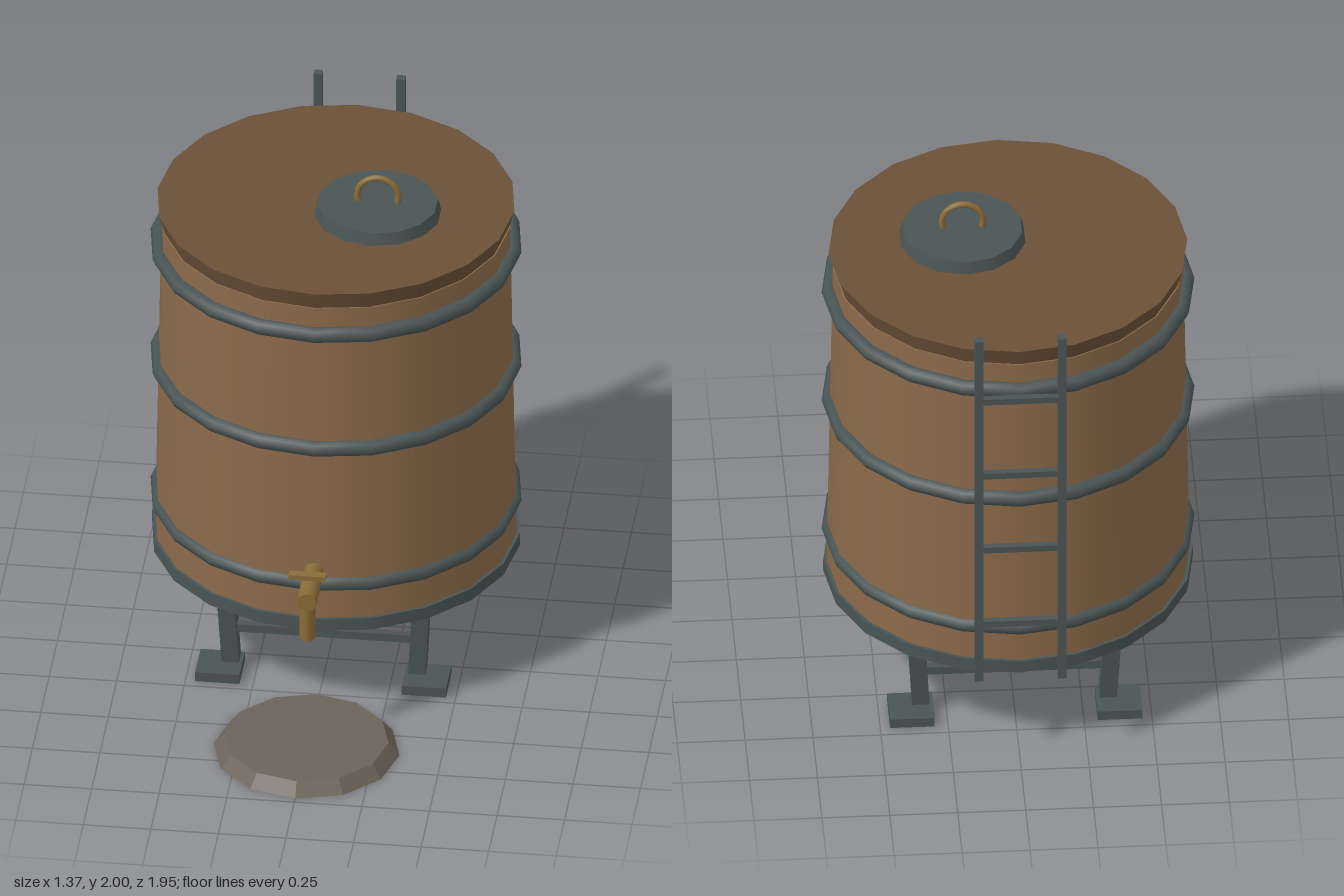
import * as THREE from 'three';

const mat = (color) => new THREE.MeshStandardMaterial({ color });
const wood = mat(0x8a6a4a), darkWood = mat(0x6a5038), metal = mat(0x4a5454);
const brass = mat(0x8a6c38), stone = mat(0x6c6359);

function add(parent, name, geometry, material, x = 0, y = 0, z = 0) {
  const mesh = new THREE.Mesh(geometry, material);
  mesh.name = name;
  mesh.position.set(x, y, z);
  parent.add(mesh);
  return mesh;
}

// Upright round part between two heights
function drum(parent, name, rBottom, rTop, y0, y1, sides, material, x = 0, z = 0) {
  const geometry = new THREE.CylinderGeometry(rTop, rBottom, y1 - y0, sides);
  return add(parent, name, geometry, material, x, (y0 + y1) / 2, z);
}

const box = (w, h, d) => new THREE.BoxGeometry(w, h, d);

export function createModel() {
  const model = new THREE.Group();
  model.name = 'waterTank';

  // Tank, centred behind the origin
  const tank = new THREE.Group();
  tank.name = 'tank';
  tank.position.z = -0.247;
  model.add(tank);
  drum(tank, 'basePlate', 0.68, 0.68, 0.395, 0.445, 20, metal);
  drum(tank, 'barrel', 0.668, 0.645, 0.445, 1.77, 20, wood);
  drum(tank, 'lid', 0.64, 0.66, 1.77, 1.84, 20, darkWood);
  for (const y of [0.588, 1.17, 1.663]) {
    const hoop = add(tank, 'hoop', new THREE.TorusGeometry(0.655, 0.031, 8, 20), metal, 0, y, 0);
    hoop.rotation.x = Math.PI / 2;
  }

  // Stand: four leaning legs with feet, joined by braces
  for (const sx of [-1, 1]) {
    for (const sz of [-1, 1]) {
      const leg = add(tank, 'leg', box(0.064, 0.39, 0.064), metal, sx * 0.354, 0.21, sz * 0.354);
      leg.rotation.set(sz * 0.055, 0, -sx * 0.055);
      add(tank, 'foot', box(0.164, 0.038, 0.164), metal, sx * 0.382, 0.025, sz * 0.382);
    }
    add(tank, 'brace', box(0.7, 0.032, 0.03), metal, 0, 0.188, sx * 0.353);
    add(tank, 'brace', box(0.03, 0.032, 0.7), metal, sx * 0.353, 0.188, 0);
  }

  // Hatch with a bent handle
  drum(model, 'hatch', 0.234, 0.222, 1.84, 1.886, 14, metal, 0.163, -0.18);
  const handle = new THREE.TorusGeometry(0.076, 0.012, 8, 20, Math.PI * 1.2);
  handle.rotateZ(-Math.PI * 0.1);
  add(model, 'hatchHandle', handle, brass, 0.163, 1.912, -0.18);

  // Tap
  const pipe = new THREE.CylinderGeometry(0.037, 0.037, 0.255, 10);
  pipe.rotateX(Math.PI / 2);
  add(model, 'tapPipe', pipe, brass, 0, 0.642, 0.508);
  drum(model, 'tapSpout', 0.029, 0.029, 0.475, 0.642, 10, brass, 0, 0.606);
  add(model, 'tapLever', box(0.136, 0.02, 0.034), brass, 0, 0.74, 0.607);

  // Ladder at the back
  const ladder = new THREE.Group();
  ladder.name = 'ladder';
  ladder.position.z = -0.957;
  model.add(ladder);
  for (const x of [-0.153, 0.153]) {
    add(ladder, 'rail', box(0.032, 1.545, 0.032), metal, x, 1.167, 0);
  }
  for (let i = 0; i < 4; i++) {
    add(ladder, 'rung', box(0.306, 0.025, 0.025), metal, 0, 0.65 + i * 0.337, 0);
  }

  // Stone slab under the tap
  drum(model, 'slab', 0.343, 0.303, 0.005, 0.055, 12, stone, 0, 0.632).material.flatShading = true;
  return model;
}
